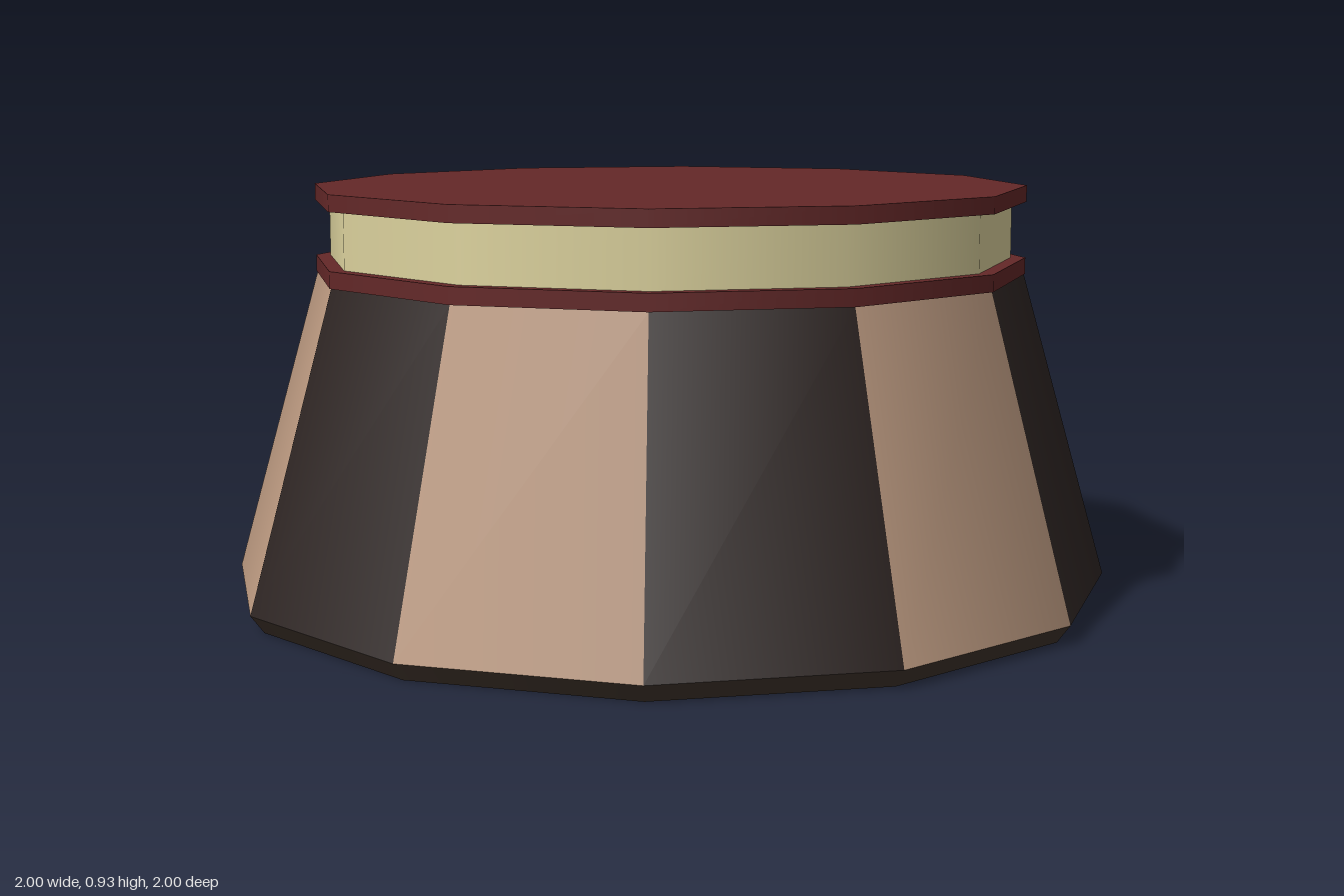
import * as THREE from 'three';

const SIDES = 12;
const STEP = (Math.PI * 2) / SIDES;

const material = (color) => new THREE.MeshStandardMaterial({ color });
const tan = material(0xba987f);
const dark = material(0x2e2523);
const brown = material(0x41352c);
const red = material(0x642828);
const cream = material(0xddd39e);

export function createModel() {
  const model = new THREE.Group();
  model.name = 'stripedDrum';

  // Twelve-sided ring or disc between two heights
  const addBand = (name, mat, rBottom, rTop, y0, y1, open = false) => {
    const geometry = new THREE.CylinderGeometry(rTop, rBottom, y1 - y0, SIDES, 1, open);
    const mesh = new THREE.Mesh(geometry, mat);
    mesh.name = name;
    mesh.position.y = (y0 + y1) / 2;
    model.add(mesh);
  };

  // Base: brown bevelled rim with a red underside
  addBand('baseRim', [brown, brown, red], 0.97, 1, 0, 0.04);

  // Sloping wall of alternating tan and dark panels
  const wall = new THREE.Group();
  wall.name = 'stripedWall';
  for (let i = 0; i < SIDES; i++) {
    const panel = new THREE.Mesh(
      new THREE.CylinderGeometry(0.805, 1, 0.69, 1, 1, true, i * STEP, STEP),
      i % 2 ? dark : tan
    );
    panel.name = i % 2 ? 'darkPanel' : 'tanPanel';
    panel.position.y = 0.385;
    wall.add(panel);
  }
  model.add(wall);

  // Red collar, cream neck and red lid
  addBand('collar', red, 0.808, 0.808, 0.73, 0.767);
  addBand('neck', cream, 0.775, 0.775, 0.767, 0.893, true);
  addBand('lid', red, 0.808, 0.808, 0.893, 0.93);

  return model;
}
